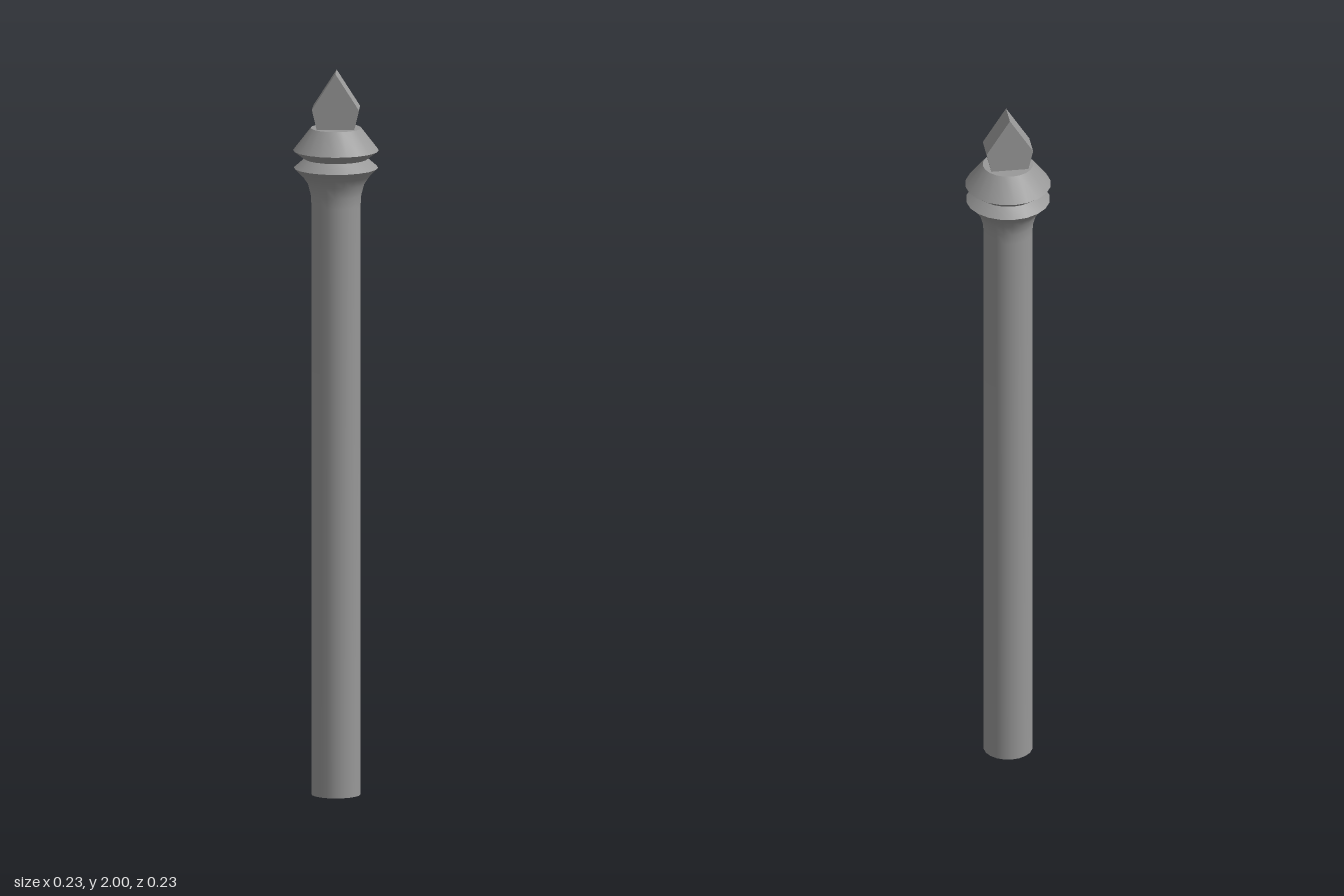
import * as THREE from 'three';
import { toCreasedNormals } from 'three/addons/utils/BufferGeometryUtils.js';

const SIDES = 20;

export function createModel() {
  const stone = new THREE.MeshStandardMaterial({ color: 0x999999 });
  stone.name = 'greyMetal';
  const model = new THREE.Group();
  model.name = 'fencePost';

  const add = (name, geometry) => {
    const mesh = new THREE.Mesh(geometry, stone);
    mesh.name = name;
    model.add(mesh);
    return mesh;
  };
  // Turned part from [radius, height] pairs, with sharp rims kept
  const turned = (profile) => toCreasedNormals(
    new THREE.LatheGeometry(profile.map(([r, y]) => new THREE.Vector2(r, y)), SIDES), 0.7);

  // Closed shaft, flared neck and double collar in one turning
  add('postAndCollar', turned([
    [0, 0], [0.067, 0], [0.067, 1.63],
    [0.069, 1.66], [0.077, 1.69], [0.092, 1.712], [0.115, 1.735],
    [0.086, 1.76], [0.117, 1.783],
    [0.069, 1.845], [0, 1.845],
  ]));

  // Spearhead: flat diamond cut through the depth
  const outline = new THREE.Shape([
    [-0.05, 1.84], [0.05, 1.84], [0.064, 1.9], [0, 2], [-0.064, 1.9],
  ].map(([x, y]) => new THREE.Vector2(x, y)));
  const depth = 0.07;
  const head = new THREE.ExtrudeGeometry(outline, { depth, bevelEnabled: false });
  head.translate(0, 0, -depth / 2);
  add('spearhead', head);

  return model;
}
